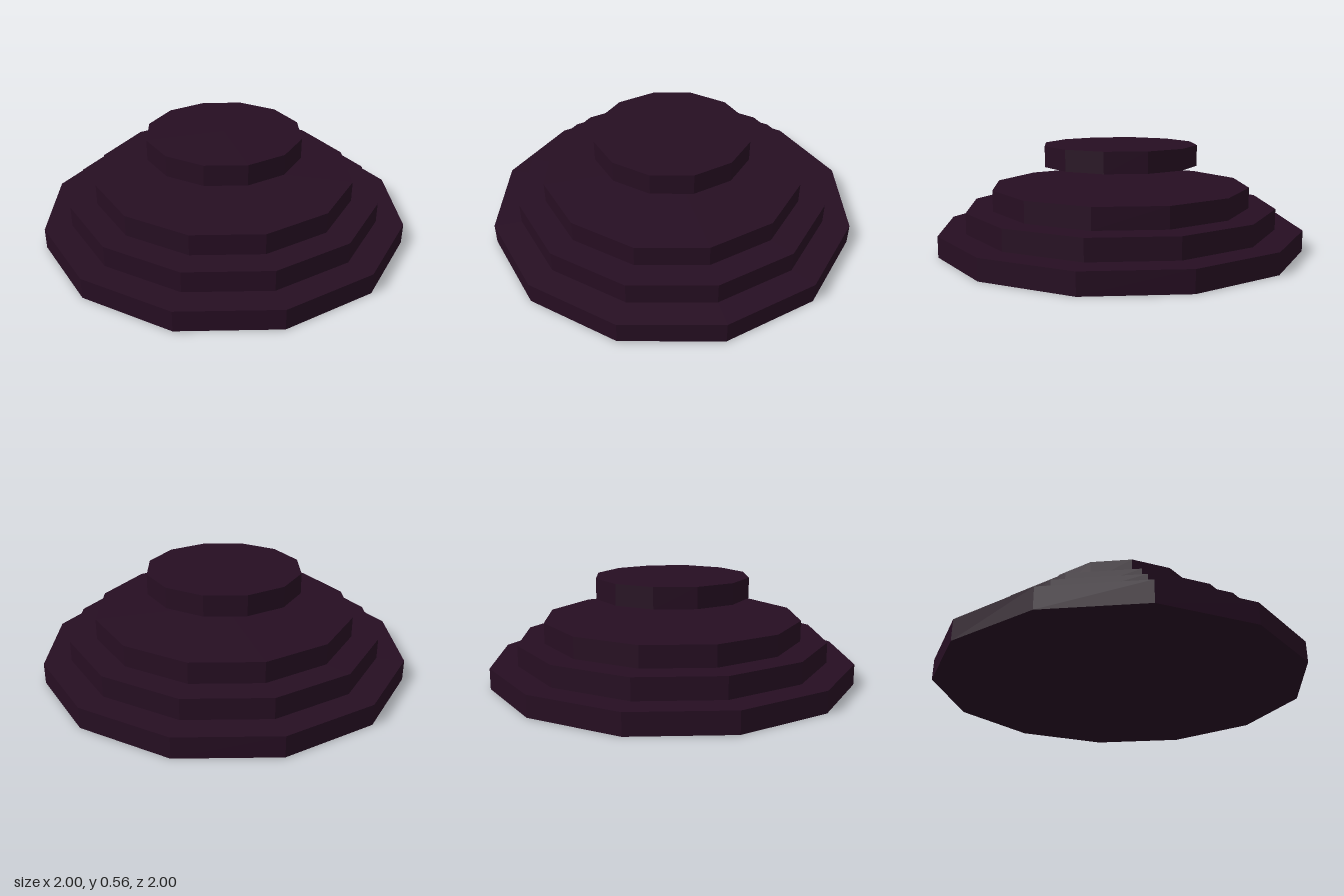
import * as THREE from 'three';

export function createModel() {
  const model = new THREE.Group();
  const darkPlum = new THREE.MeshStandardMaterial({ color: 0x260e22, flatShading: true });
  darkPlum.name = 'darkPlum';

  // Twelve-sided discs: name, radius, bottom height
  const height = 0.1125;
  const tiers = [
    ['baseTier', 1, 0],
    ['middleTier', 0.853, height],
    ['upperTier', 0.71, height * 2],
    ['floatingTopDisc', 0.425, height * 4],
  ];
  for (const [name, radius, bottom] of tiers) {
    const disc = new THREE.Mesh(new THREE.CylinderGeometry(radius, radius, height, 12), darkPlum);
    disc.name = name;
    disc.position.y = bottom + height / 2;
    model.add(disc);
  }
  return model;
}
